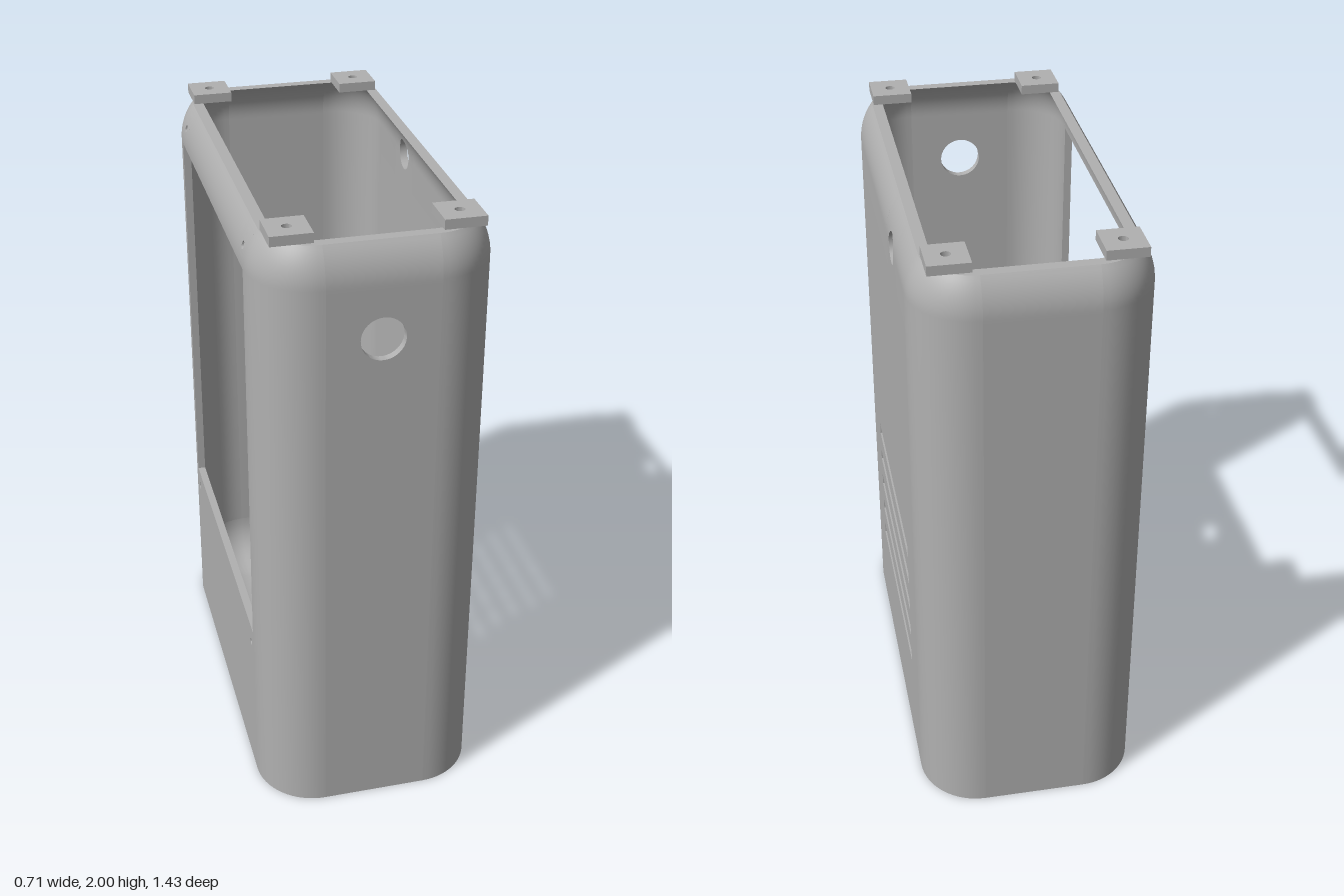
import * as THREE from 'three';
import { toCreasedNormals } from 'three/addons/utils/BufferGeometryUtils.js';

// Main sizes: corner centres, outer and inner corner radii, heights
const CX = 0.167, CZ = 0.525, RO = 0.19, RI = 0.165;
const BEND = 1.85, TOP = 1.97, FLOOR = 0.025;

// Distance of a skin of radius R from the corner axis at height y
const skin = (R, y) => (y > BEND ? Math.sqrt(R * R - (y - BEND) ** 2) : R);

// Closed wall section from height y0 up to the rim: [distance, y]
function section(y0) {
  const ys = [y0];
  for (let i = 0; i <= 10; i++) ys.push(BEND + (TOP - BEND) * i / 10);
  const outer = ys.map(y => [skin(RO, y), y]);
  const inner = ys.map(y => [skin(RI, y), y]).reverse();
  return [...outer, ...inner, outer[0]];
}

// Surface through rows of points, each row having the same length
function loft(rows) {
  const n = rows[0].length, index = [];
  for (let r = 0; r < rows.length - 1; r++) {
    for (let i = 0; i < n - 1; i++) {
      const a = r * n + i, b = a + n;
      index.push(a, a + 1, b, b, a + 1, b + 1);
    }
  }
  const g = new THREE.BufferGeometry();
  g.setAttribute('position', new THREE.Float32BufferAttribute(rows.flat(2), 3));
  g.setIndex(index);
  return g;
}

const circle = (x, y, r) => new THREE.Path().absarc(x, y, r, 0, Math.PI * 2, true);

function polygon(points, Type = THREE.Shape) {
  return new Type(points.map(p => new THREE.Vector2(p[0], p[1])));
}
const rect = (x0, x1, y0, y1, Type) => polygon([[x0, y0], [x1, y0], [x1, y1], [x0, y1]], Type);

function plate(shape, depth, holes = []) {
  shape.holes.push(...holes);
  return new THREE.ExtrudeGeometry(shape, { depth, bevelEnabled: false, curveSegments: 32 });
}

// Plain curved wall strip from u0 to u1, from y0 up to the rim
function strip(c, u0, u1, y0) {
  return loft([u0, u1].map(u => section(y0).map(([d, y]) => [u, y, c + d])));
}

// Curved wall strip with a round hole
function holedStrip(c, u0, u1, y0, hu, hy, r) {
  const edge = [], k = 12, corners = [[u0, y0], [u1, y0], [u1, TOP], [u0, TOP], [u0, y0]];
  for (let s = 0; s < 4; s++) {
    for (let i = 0; i < k; i++) {
      edge.push([0, 1].map(j => THREE.MathUtils.lerp(corners[s][j], corners[s + 1][j], i / k)));
    }
  }
  edge.push(edge[0]);
  const ring = (t, R) => edge.map(([u, y]) => {
    const a = Math.atan2(y - hy, u - hu);
    const pu = THREE.MathUtils.lerp(u, hu + r * Math.cos(a), t);
    const py = THREE.MathUtils.lerp(y, hy + r * Math.sin(a), t);
    return [pu, py, c + skin(R, py)];
  });
  const rows = [];
  for (let i = 0; i <= 8; i++) rows.push(ring(i / 8, RO));
  for (let i = 8; i >= 0; i--) rows.push(ring(i / 8, RI));
  rows.push(rows[0]);
  return loft(rows);
}

// Rounded rectangle around the corner centres
function outline(r, n = 12) {
  const pts = [];
  [[1, 1], [-1, 1], [-1, -1], [1, -1]].forEach(([sx, sz], q) => {
    for (let i = 0; i <= n; i++) {
      const a = (q + i / n) * Math.PI / 2;
      pts.push([sx * CX + r * Math.cos(a), sz * CZ + r * Math.sin(a)]);
    }
  });
  return pts;
}

export function createModel() {
  const model = new THREE.Group();
  model.name = 'enclosure';
  const grey = new THREE.MeshStandardMaterial({ color: 0xb0b0b0, side: THREE.DoubleSide });
  grey.name = 'grey';

  function add(parent, name, geometry) {
    const mesh = new THREE.Mesh(toCreasedNormals(geometry, 0.6), grey);
    mesh.name = name;
    parent.add(mesh);
    return mesh;
  }
  function wall(name, angle) {
    const g = new THREE.Group();
    g.name = name;
    g.rotation.y = angle;
    model.add(g);
    return g;
  }
  const T = RO - RI;

  // Vented wall on +x with slots and a cable hole near the rim
  const vented = wall('ventedWall', Math.PI / 2);
  const slots = [];
  for (let i = 0; i < 5; i++) {
    const y = 0.355 + 0.1125 * i;
    slots.push(rect(-0.3625, 0.3625, y - 0.021, y + 0.021, THREE.Path));
  }
  add(vented, 'ventPanel', plate(rect(-CZ, CZ, 0, 1.72), T, slots)).position.z = CX + RI;
  add(vented, 'ventTopFront', strip(CX, -CZ, 0.14, 1.72));
  add(vented, 'cableHole', holedStrip(CX, 0.14, 0.34, 1.72, 0.24, 1.845, 0.05));
  add(vented, 'ventTopBack', strip(CX, 0.34, CZ, 1.72));

  // Window wall on -x with screw holes around the opening
  const windowed = wall('windowWall', -Math.PI / 2);
  const W = 0.51, sill = 0.565, head = 1.845;
  const frame = polygon([[-CZ, 0], [CZ, 0], [CZ, head], [W, head], [W, sill], [-W, sill], [-W, head], [-CZ, head]]);
  const screws = [-0.48, 0.48].map(u => circle(u, 0.505, 0.012));
  add(windowed, 'windowFrame', plate(frame, T, screws)).position.z = CX + RI;
  add(windowed, 'windowHeader', strip(CX, -0.435, 0.435, head));
  for (const s of [-1, 1]) {
    const u = [s * 0.435, s * CZ].sort((a, b) => a - b);
    add(windowed, 'screwHole', holedStrip(CX, u[0], u[1], head, s * 0.48, 1.905, 0.012));
  }

  // Narrow front wall with a round hole, and plain back wall
  for (const [name, angle, holes] of [['frontWall', 0, [circle(0, 1.685, 0.067)]], ['backWall', Math.PI, []]]) {
    const end = wall(name, angle);
    add(end, name + 'Panel', plate(rect(-CX, CX, 0, 1.84), T, holes)).position.z = CZ + RI;
    add(end, name + 'Top', strip(CZ, -CX, CX, 1.84));
  }

  // Rounded corners
  const profile = section(0).map(p => new THREE.Vector2(p[0], p[1]));
  [[1, 1], [1, -1], [-1, -1], [-1, 1]].forEach(([sx, sz], i) => {
    const g = new THREE.LatheGeometry(profile, 16, i * Math.PI / 2, Math.PI / 2);
    add(model, 'corner', g).position.set(sx * CX, 0, sz * CZ);
  });

  // Floor, mounting disc and the concave curve around the floor
  const mountHoles = () => [circle(0, 0, 0.09), ...[0, 1, 2].map(i => {
    const a = i * Math.PI * 2 / 3;
    return circle(0.207 * Math.cos(a), 0.207 * Math.sin(a), 0.014);
  })];
  const floor = plate(polygon(outline(RI)), FLOOR, mountHoles()).rotateX(-Math.PI / 2);
  add(model, 'floor', floor);
  const disc = new THREE.Shape().absarc(0, 0, 0.255, 0, Math.PI * 2, false);
  add(model, 'mountDisc', plate(disc, 0.03, mountHoles()).rotateX(-Math.PI / 2)).position.y = FLOOR;
  const rings = [];
  for (let i = 0; i <= 10; i++) {
    const a = i / 10 * Math.PI / 2;
    const pts = outline(RI * Math.cos(a)).map(([x, z]) => [x, FLOOR + RI * (1 - Math.sin(a)), z]);
    rings.push([...pts, pts[0]]);
  }
  add(model, 'floorCurve', loft(rings));

  // Mounting tabs on the rim
  for (const sx of [-1, 1]) {
    for (const sz of [-1, 1]) {
      const h = 0.0625;
      const tab = plate(rect(-h, h, -h, h), 0.03, [circle(0, 0, 0.015)]).rotateX(-Math.PI / 2);
      add(model, 'mountTab', tab).position.set(sx * 0.2475, TOP, sz * 0.5925);
    }
  }
  return model;
}
